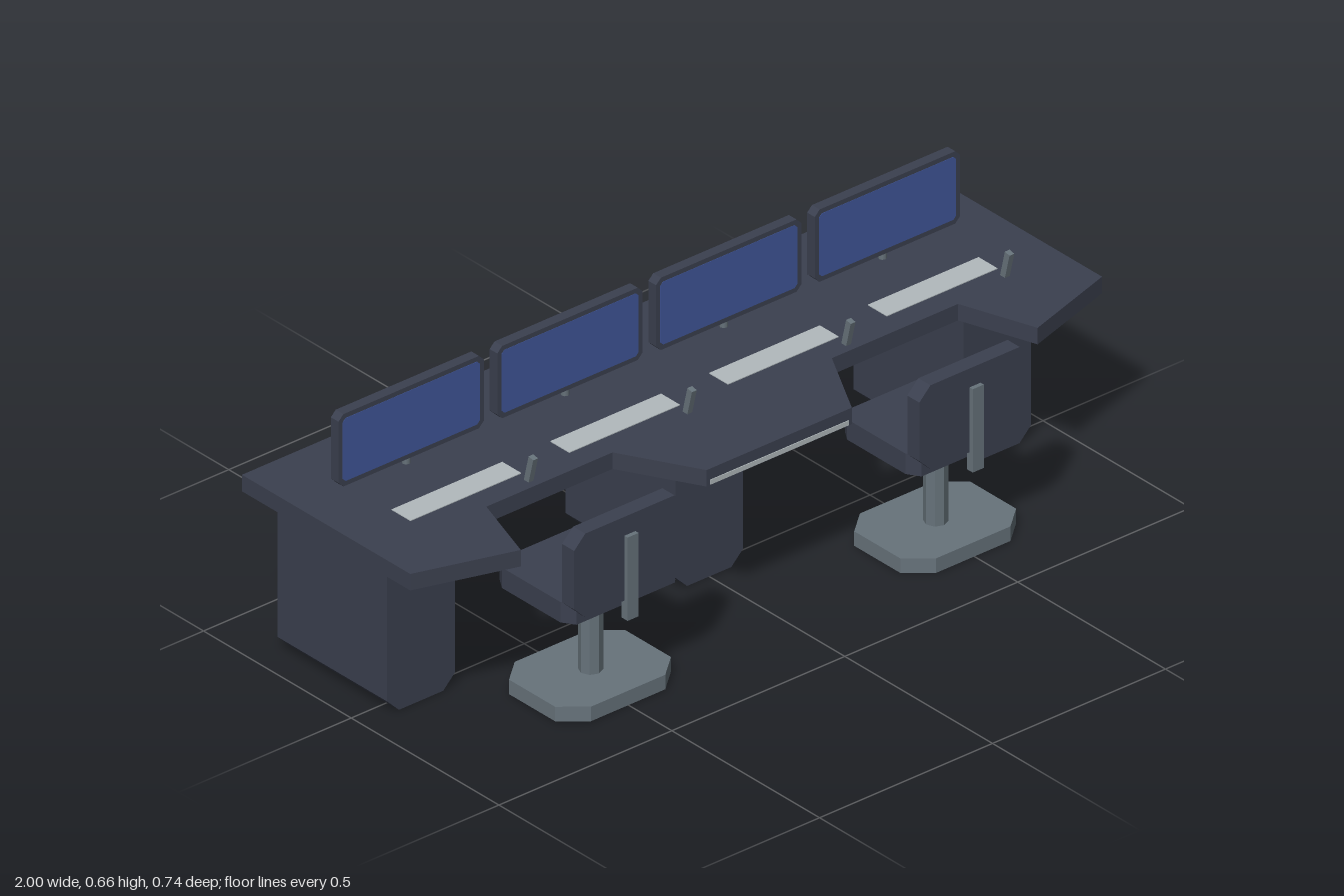
import * as THREE from 'three';

const material = (name, color) => {
  const m = new THREE.MeshStandardMaterial({ color });
  m.name = name;
  return m;
};

// Rectangle with cut corners, centred on the origin
function cutRect(w, h, cx, cy = cx) {
  const a = w / 2, b = h / 2;
  return [[-a + cx, -b], [a - cx, -b], [a, -b + cy], [a, b - cy],
    [a - cx, b], [-a + cx, b], [-a, b - cy], [-a, -b + cy]];
}

// Outline in x/y, extruded from z = 0 to z = depth
function prism(points, depth) {
  const shape = new THREE.Shape(points.map(p => new THREE.Vector2(p[0], p[1])));
  return new THREE.ExtrudeGeometry(shape, { depth, bevelEnabled: false });
}

// Outline in x/z, extruded upward from y = 0
function slab(points, height) {
  return prism(points.map(([x, z]) => [x, -z]), height).rotateX(-Math.PI / 2);
}

export function createModel() {
  const slate = material('slate', 0x3b404f);
  const metal = material('metal', 0x67737b);
  const keys = material('paleGrey', 0xb2babd);
  const glass = material('screenBlue', 0x40569a);
  const model = new THREE.Group();
  model.name = 'controlDesk';

  const add = (parent, name, geometry, mat, x, y, z) => {
    const mesh = new THREE.Mesh(geometry, mat);
    mesh.name = name;
    mesh.position.set(x, y, z);
    parent.add(mesh);
    return mesh;
  };

  // Worktop with two seating bays
  const half = [[1, -0.37], [1, 0.2], [0.747, 0.278], [0.682, 0.085], [0.317, 0.085], [0.21, 0.278]];
  const outline = [...half, ...half.map(([x, z]) => [-x, z]).reverse()];
  add(model, 'worktop', slab(outline, 0.042), slate, 0, 0.413, 0);
  add(model, 'frontTrim', new THREE.BoxGeometry(0.4, 0.012, 0.004), keys, 0, 0.421, 0.278);

  // Pedestals
  for (const x of [-0.833, 0, 0.833]) {
    add(model, 'pedestal', prism(cutRect(0.196, 0.413, 0.034), 0.372), slate, x, 0.2065, -0.331);
  }

  // Workstations: monitor, keyboard and microphone
  for (const x of [-0.69, -0.231, 0.228, 0.687]) {
    const station = new THREE.Group();
    station.name = 'workstation';
    station.position.x = x;
    model.add(station);
    add(station, 'monitorCase', prism(cutRect(0.42, 0.184, 0.014), 0.026), slate, 0, 0.567, -0.186);
    add(station, 'screen', prism(cutRect(0.396, 0.16, 0.008), 0.001), glass, 0, 0.567, -0.1602);
    add(station, 'monitorStand', new THREE.CylinderGeometry(0.01, 0.01, 0.056, 8), metal, 0, 0.483, -0.177);
    add(station, 'keyboard', new THREE.BoxGeometry(0.32, 0.002, 0.064), keys, 0, 0.456, -0.007);
    const mic = add(station, 'microphone', new THREE.BoxGeometry(0.014, 0.068, 0.016), metal, 0.154, 0.487, 0.065);
    mic.rotation.x = 0.24;
  }

  // Chairs
  for (const x of [-0.501, 0.497]) {
    const chair = new THREE.Group();
    chair.name = 'chair';
    chair.position.x = x;
    model.add(chair);
    add(chair, 'chairFoot', slab(cutRect(0.335, 0.258, 0.06, 0.051), 0.037), metal, 0, 0, 0.224);
    const post = new THREE.CylinderGeometry(0.028, 0.028, 0.22, 8).toNonIndexed();
    post.computeVertexNormals();
    add(chair, 'chairPost', post, metal, 0, 0.146, 0.226);
    add(chair, 'seat', slab(cutRect(0.325, 0.26, 0.02, 0.031), 0.052), slate, 0, 0.255, 0.215);
    add(chair, 'backrest', prism(cutRect(0.322, 0.213, 0.032), 0.041), slate, 0, 0.3815, 0.318);
    add(chair, 'backSpine', new THREE.BoxGeometry(0.032, 0.212, 0.02), metal, 0, 0.334, 0.36);
  }
  return model;
}
